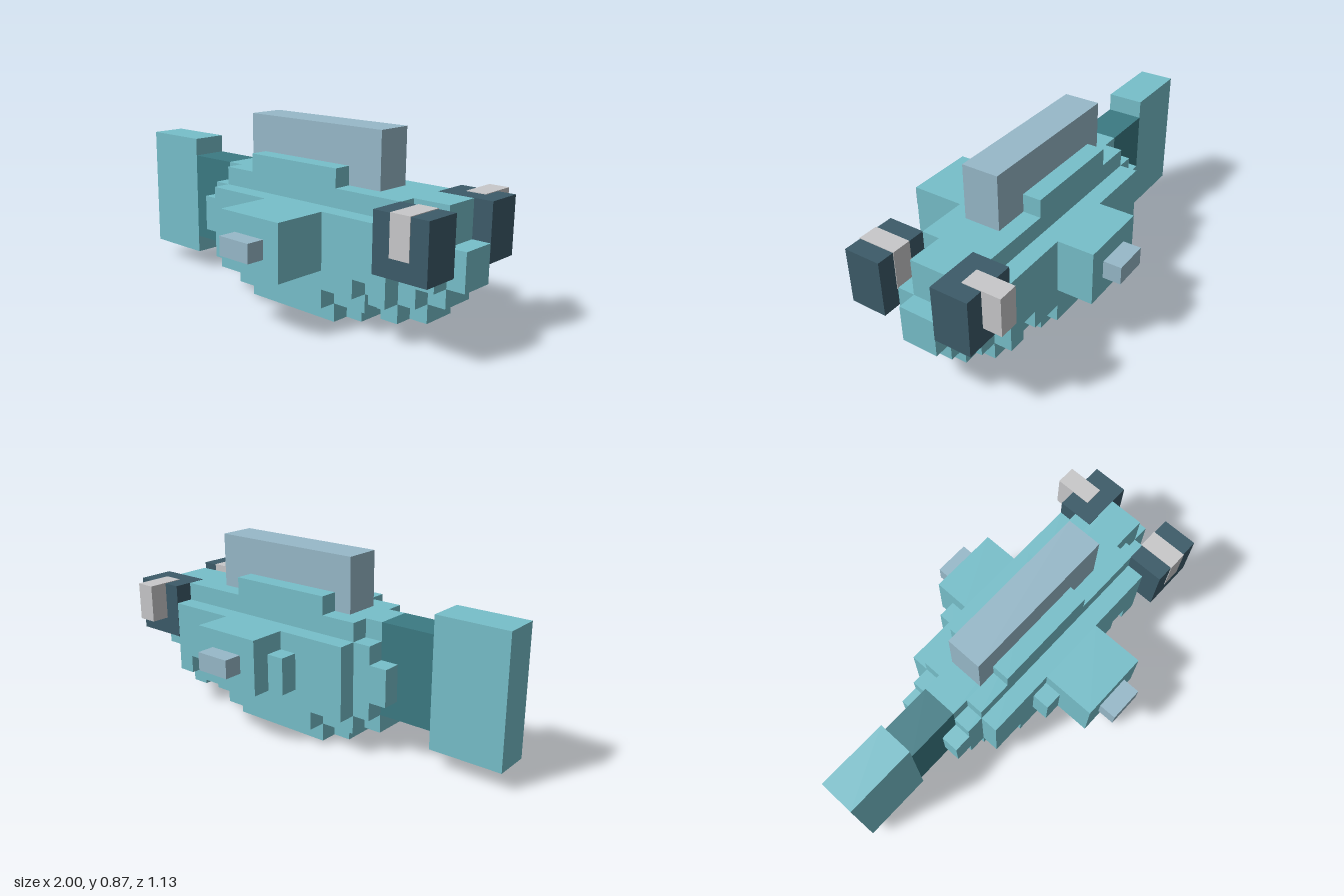
import * as THREE from 'three';

const U = 2 / 23; // one block of the 23 x 10 x 13 grid

const mat = (name, color) => Object.assign(new THREE.MeshStandardMaterial({ color }), { name });

export function createModel() {
  const model = new THREE.Group();
  model.name = 'blockFish';
  const teal = mat('teal skin', 0x77bfca);
  const deep = mat('deep teal', 0x3b7a83);
  const grey = mat('fin blue grey', 0x97b9c9);
  const navy = mat('eye navy', 0x3c5b69);
  const pale = mat('eye highlight', 0xc8c8ca);

  // Box between two grid corners; grow pushes all faces slightly outwards
  function block(name, material, [x0, x1], [y0, y1], [z0, z1], grow = 0) {
    const g = 2 * grow;
    const mesh = new THREE.Mesh(
      new THREE.BoxGeometry((x1 - x0) * U + g, (y1 - y0) * U + g, (z1 - z0) * U + g), material);
    mesh.position.set((x0 + x1) / 2 * U - 1, (y0 + y1) / 2 * U, ((z0 + z1) / 2 - 6.5) * U);
    mesh.name = name;
    model.add(mesh);
  }

  // Body, stepped inwards from the core to the flanks: [x range, y range, z range]
  const body = [
    [[7, 22], [2, 7], [5, 7]],    // core
    [[22, 23], [3, 5], [5, 7]],   // snout
    [[7, 21], [1, 2], [5, 7]],    // lower core
    [[9, 17], [0, 1], [5, 7]],    // keel
    [[10, 16], [0, 1], [4, 8]],   // belly
    [[8, 18], [1, 2], [4, 8]],
    [[19, 20], [1, 2], [4, 8]],
    [[7, 21], [2, 6], [4, 8]],    // sides
    [[21, 22], [3, 5], [4, 8]],   // cheeks
    [[6, 7], [3, 5], [4, 8]],     // rear bulge
    [[8, 20], [6, 7], [4, 8]],    // back
    [[10, 16], [1, 2], [3, 9]],   // flanks
    [[8, 18], [2, 3], [3, 9]],
    [[19, 20], [2, 3], [3, 9]],
    [[8, 20], [3, 6], [3, 9]],
    [[10, 16], [7, 8], [4, 8]],   // ridge around the back fin
  ];
  body.forEach(([x, y, z]) => block('body', teal, x, y, z));

  // Tail and back fin
  block('tailStem', deep, [4, 7], [2, 7], [5, 7]);
  block('tailFin', teal, [0, 4], [1, 8], [5, 7]);
  block('backFin', grey, [9, 18], [7, 10], [5, 7]);

  // Side fins, mirrored about the body's middle at z = 6.
  // The fins reach one block further on the front than the eyes do.
  for (const s of [1, -1]) {
    const side = (a, b) => (s > 0 ? [6 + a, 6 + b] : [6 - b, 6 - a]);
    const reach = s > 0 ? 6 : 5;
    block('sideFin', teal, [12, 16], [3, 6], side(3, reach));
    block('sideFinRoot', teal, [11, 12], [3, 5], side(3, 4));
    block('sideFinTip', grey, [13, 15], [4, 5], side(reach, reach + 1));
  }

  // Eyes with pale highlights
  block('leftEye', navy, [20, 23], [4, 7], [8, 10], 0.001);
  block('leftEyeHighlight', pale, [21, 22], [5, 7], [8, 10], 0.004);
  block('rightEye', navy, [20, 23], [4, 7], [3, 5], 0.001);
  block('rightEyeHighlight', pale, [21, 22], [5, 7], [2, 4], 0.004);

  return model;
}
